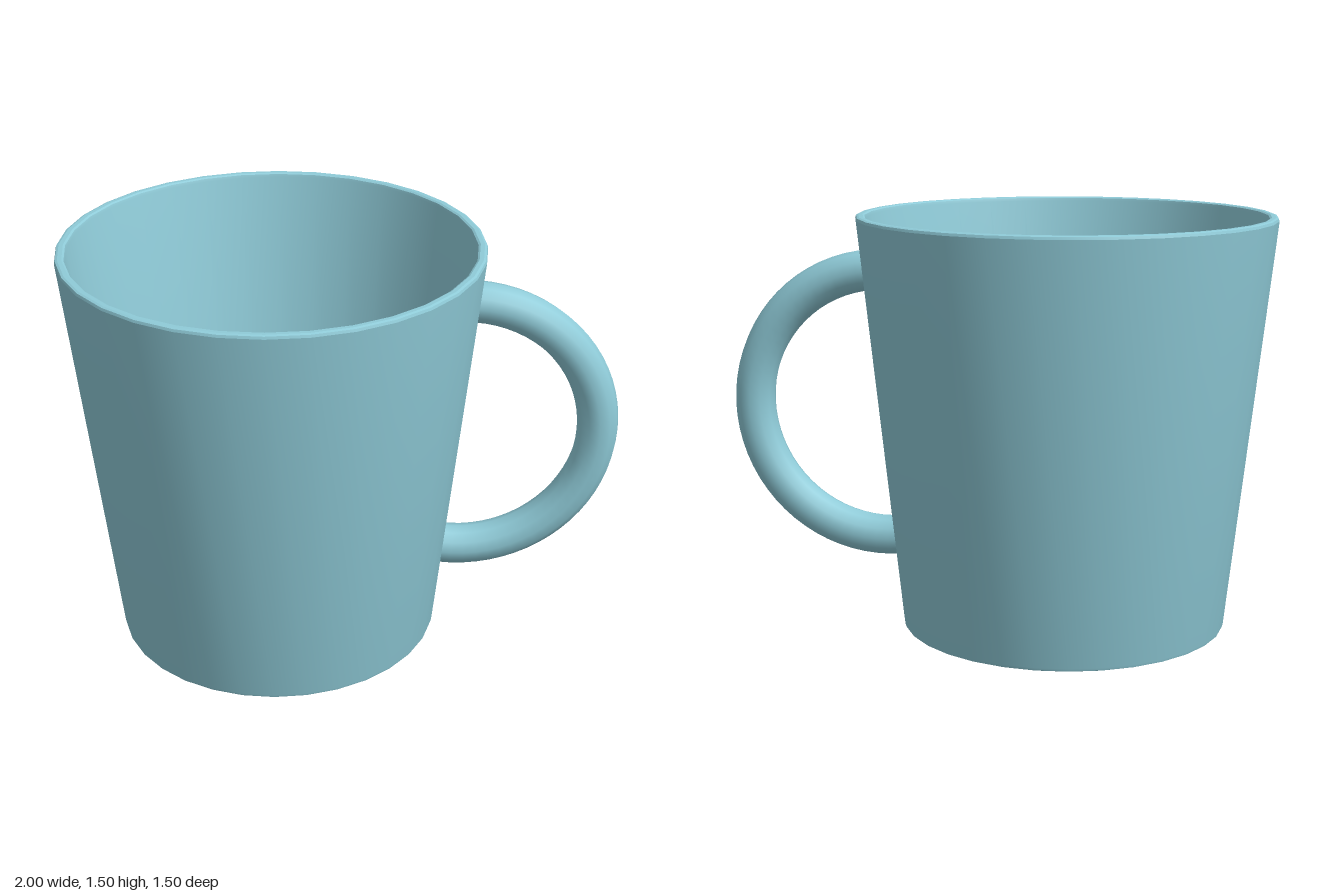
import * as THREE from 'three';
import { toCreasedNormals } from 'three/addons/utils/BufferGeometryUtils.js';

const HEIGHT = 1.5, BASE_R = 0.59, TOP_R = 0.75, CUP_X = -0.25;

export function createModel() {
  const group = new THREE.Group();
  group.name = 'mug';
  const material = new THREE.MeshStandardMaterial({ color: 0x8fcbd8 });

  // Tapered cup: underside, outer wall, rounded rim, inner wall, inner floor
  const profile = [
    [0, 0], [BASE_R - 0.012, 0], [BASE_R - 0.002, 0.004], [BASE_R + 0.001, 0.014],
    [TOP_R - 0.001, HEIGHT - 0.012], [TOP_R - 0.004, HEIGHT - 0.003], [TOP_R - 0.012, HEIGHT],
    [TOP_R - 0.027, HEIGHT], [TOP_R - 0.034, HEIGHT - 0.004], [TOP_R - 0.037, HEIGHT - 0.014],
    [0.557, 0.035], [0, 0.035],
  ].map(([r, y]) => new THREE.Vector2(r, y));
  const cup = new THREE.Mesh(toCreasedNormals(new THREE.LatheGeometry(profile, 32), 0.35), material);
  cup.name = 'cup';
  cup.position.x = CUP_X;
  group.add(cup);

  // Half-ring handle, tilted to follow the wall, its ends sunk slightly into it
  const tilt = Math.atan((TOP_R - BASE_R) / HEIGHT);
  const sink = 0.03;
  const arc = Math.PI + 2 * sink;
  const handle = new THREE.Mesh(new THREE.TorusGeometry(0.5, 0.075, 12, 36, arc), material);
  handle.name = 'handle';
  handle.position.set(0.425, 0.785, 0);
  handle.rotation.z = -Math.PI / 2 - tilt - sink;
  group.add(handle);

  return group;
}
